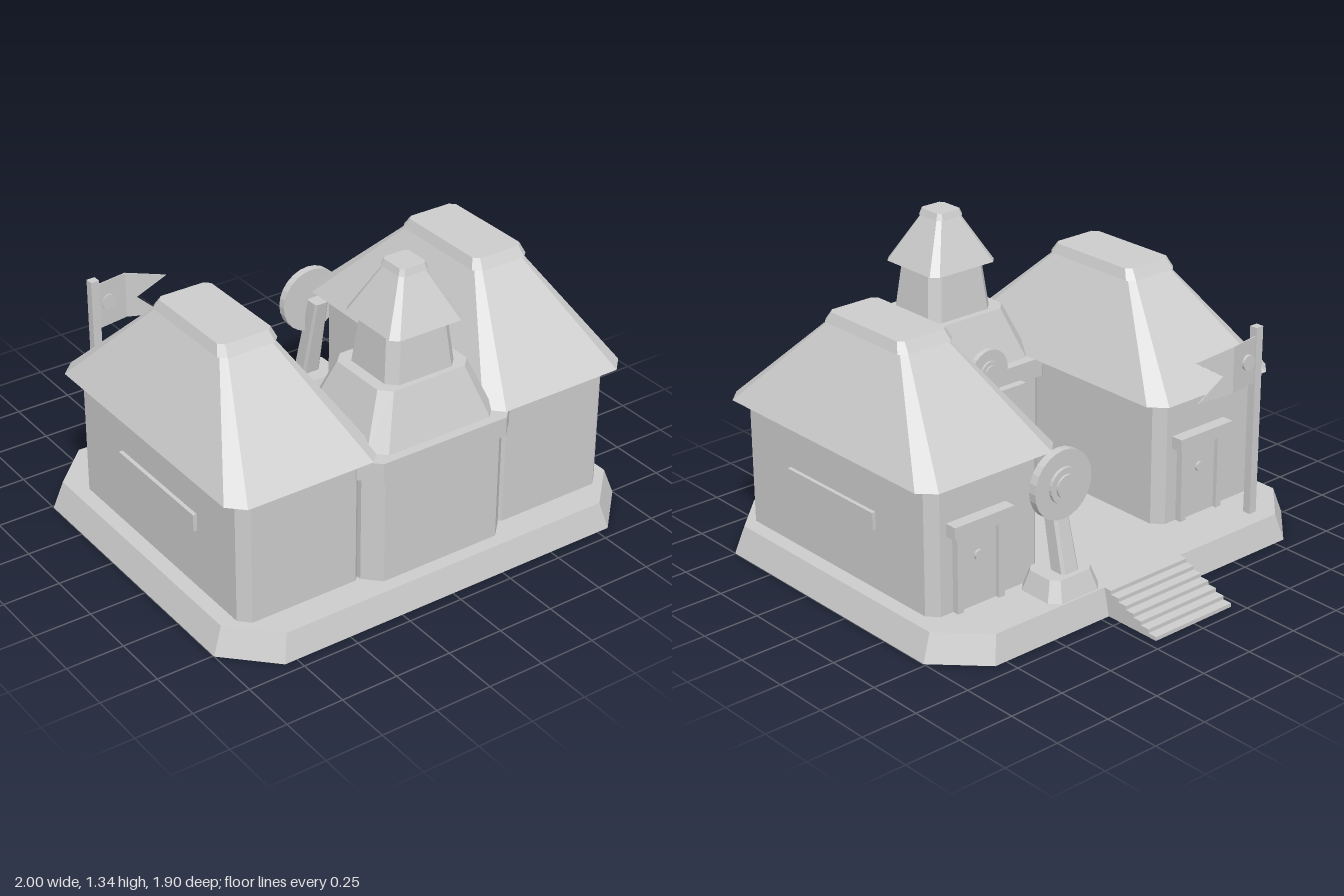
import * as THREE from 'three';

const stone = new THREE.MeshStandardMaterial({ color: 0xcccccc, flatShading: true });
stone.name = 'pale grey stone';

// Chamfered rectangle at height y, spanning z0..z1, half width hx, corner cut c
function ring([y, hx, z0, z1, c]) {
  return [[hx - c, z1], [hx, z1 - c], [hx, z0 + c], [hx - c, z0],
    [c - hx, z0], [-hx, z0 + c], [-hx, z1 - c], [c - hx, z1]].map(([x, z]) => [x, y, z]);
}

// Solid skinned through chamfered rings; first ring closes below, last above
function loft(name, rings, x = 0) {
  const loops = rings.map(ring), p = [];
  const tri = (a, b, c) => p.push(...a, ...b, ...c);
  for (let k = 0; k < loops.length - 1; k++) {
    const a = loops[k], b = loops[k + 1];
    for (let i = 0; i < 8; i++) {
      const j = (i + 1) % 8;
      tri(a[i], a[j], b[j]);
      tri(a[i], b[j], b[i]);
    }
  }
  const lo = loops[0], hi = loops[loops.length - 1];
  for (let i = 1; i < 7; i++) {
    tri(lo[0], lo[i + 1], lo[i]);
    tri(hi[0], hi[i], hi[i + 1]);
  }
  return surface(name, p, x);
}

function surface(name, positions, x = 0) {
  const g = new THREE.BufferGeometry();
  g.setAttribute('position', new THREE.Float32BufferAttribute(positions, 3));
  g.computeVertexNormals();
  return mesh(name, g, x, 0, 0);
}

function mesh(name, geometry, x, y, z) {
  const m = new THREE.Mesh(geometry, stone);
  m.name = name;
  m.position.set(x, y, z);
  return m;
}

// Box given by its limits
function box(name, x0, x1, y0, y1, z0, z1) {
  return mesh(name, new THREE.BoxGeometry(x1 - x0, y1 - y0, z1 - z0),
    (x0 + x1) / 2, (y0 + y1) / 2, (z0 + z1) / 2);
}

// Round plate facing the back, between z0 and z1
function disc(name, r, x, y, z0, z1, sides = 24) {
  const g = new THREE.CylinderGeometry(r, r, z1 - z0, sides).rotateX(Math.PI / 2);
  return mesh(name, g, x, y, (z0 + z1) / 2);
}

function group(name, ...parts) {
  const g = new THREE.Group();
  g.name = name;
  g.add(...parts);
  return g;
}

// Doorway on a back wall: panel, jambs, lintel and porthole
function doorway(name, x, top, w, z) {
  return group(name,
    box('doorPanel', x - w * 0.6, x + w * 0.6, 0.117, top, z - 0.012, z + 0.02),
    box('leftJamb', x + w * 0.6, x + w * 0.8, 0.117, top, z - 0.03, z + 0.02),
    box('rightJamb', x - w * 0.8, x - w * 0.6, 0.117, top, z - 0.03, z + 0.02),
    box('lintel', x - w, x + w, top, top + 0.055, z - 0.055, z + 0.02),
    disc('porthole', 0.022, x, 0.12 + (top - 0.12) * 0.64, z - 0.022, z, 14));
}

// Shield of three stacked discs; t scales its thickness
function shield(name, r, x, y, z, t) {
  return group(name,
    disc('shieldPlate', r, x, y, z - 0.018 * t, z + 0.018 * t),
    disc('shieldRing', r * 0.52, x, y, z - 0.032 * t, z),
    disc('shieldBoss', r * 0.34, x, y, z - 0.042 * t, z));
}

// Thin cloth sheet slanting in z by slope, starting from x0, z0
function cloth(name, outline, x0, z0, slope) {
  const shape = new THREE.Shape(outline.map(([x, y]) => new THREE.Vector2(x, y)));
  const g = new THREE.ExtrudeGeometry(shape, { depth: 0.005, bevelEnabled: false });
  const pos = g.attributes.position;
  for (let i = 0; i < pos.count; i++) pos.setZ(i, pos.getZ(i) + z0 + (pos.getX(i) - x0) * slope);
  g.computeVertexNormals();
  return mesh(name, g, 0, 0, 0);
}

export function createModel() {
  const model = new THREE.Group();
  model.name = 'courtyardHall';

  // Sloped base platform, hollow underneath
  model.add(loft('basePlatform', [[0.108, 0.955, -0.652, 0.915, 0.18],
    [0, 1, -0.683, 0.95, 0.195], [0.118, 0.957, -0.655, 0.92, 0.18]]));

  // Steps: treads and risers with side walls, open underneath
  const s = [], n = 7, rise = 0.118 / n, run = 0.0428, w = 0.21;
  const quad = (a, b, c, d) => s.push(...a, ...b, ...c, ...a, ...c, ...d);
  for (let i = 0; i < n; i++) {
    const z0 = -0.95 + i * run, z1 = z0 + run, y0 = i * rise, y1 = y0 + rise;
    quad([w, y0, z0], [-w, y0, z0], [-w, y1, z0], [w, y1, z0]);
    quad([w, y1, z0], [-w, y1, z0], [-w, y1, z1], [w, y1, z1]);
    quad([w, 0, z1], [w, 0, z0], [w, y1, z0], [w, y1, z1]);
    quad([-w, 0, z0], [-w, 0, z1], [-w, y1, z1], [-w, y1, z0]);
  }
  model.add(surface('steps', s));

  // Two side wings with hipped roofs
  for (const side of [1, -1]) {
    const x = side * 0.606;
    model.add(group(side > 0 ? 'leftWing' : 'rightWing',
      loft('wingWalls', [[0.115, 0.285, -0.412, 0.793, 0.044], [0.69, 0.285, -0.412, 0.793, 0.044]], x),
      loft('wingRoof', [[0.677, 0.35, -0.466, 0.843, 0.065], [1.08, 0.118, -0.058, 0.425, 0.022]], x),
      loft('wingRoofCap', [[1.073, 0.137, -0.077, 0.445, 0.03], [1.116, 0.12, -0.045, 0.415, 0.022]], x),
      box('sideVent', side * 0.89 - 0.018, side * 0.89 + 0.018, 0.385, 0.46, -0.073, 0.48),
      doorway('wingDoor', x + 0.06, 0.455, 0.15, -0.412)));
  }

  // Central tower in diminishing stages
  model.add(group('tower',
    loft('towerWalls', [[0.115, 0.343, 0.3, 0.86, 0.066], [0.6, 0.343, 0.3, 0.86, 0.066]]),
    loft('towerBand', [[0.593, 0.371, 0.28, 0.876, 0.074], [0.677, 0.371, 0.28, 0.876, 0.074]]),
    loft('lowerRoof', [[0.675, 0.305, 0.325, 0.836, 0.06], [0.897, 0.215, 0.405, 0.76, 0.045]]),
    loft('towerNeck', [[0.89, 0.167, 0.435, 0.735, 0.04], [1.12, 0.143, 0.46, 0.71, 0.04]]),
    loft('upperRoof', [[1.107, 0.175, 0.42, 0.76, 0.03], [1.32, 0.058, 0.525, 0.645, 0.014]]),
    loft('upperRoofCap', [[1.31, 0.07, 0.51, 0.66, 0.018], [1.337, 0.06, 0.52, 0.65, 0.014]]),
    doorway('towerDoor', 0, 0.55, 0.173, 0.3),
    shield('towerShield', 0.1, 0, 0.69, 0.29, 0.7)));

  // Standing shield on a leaning post and plinth
  model.add(group('shieldMonument',
    loft('plinth', [[0.112, 0.137, -0.648, -0.413, 0.04], [0.203, 0.107, -0.617, -0.44, 0.03]], 0.333),
    loft('leaningPost', [[0.19, 0.045, -0.597, -0.512, 0.012], [0.583, 0.034, -0.5, -0.428, 0.01]], 0.33),
    shield('standingShield', 0.148, 0.33, 0.567, -0.526, 1)));

  // Swallow-tailed flag on a square pole
  model.add(group('flag',
    box('flagPole', -0.735, -0.697, 0.115, 0.96, -0.582, -0.545),
    cloth('flagPanel', [[-0.7, 0.72], [-0.545, 0.72], [-0.545, 0.925], [-0.7, 0.925]], -0.7, -0.578, -0.16),
    cloth('flagTail', [[-0.545, 0.72], [-0.39, 0.705], [-0.5, 0.805], [-0.375, 0.885], [-0.545, 0.925]], -0.545, -0.603, 0.27),
    disc('flagDisc', 0.033, -0.637, 0.83, -0.604, -0.575, 14)));

  return model;
}
